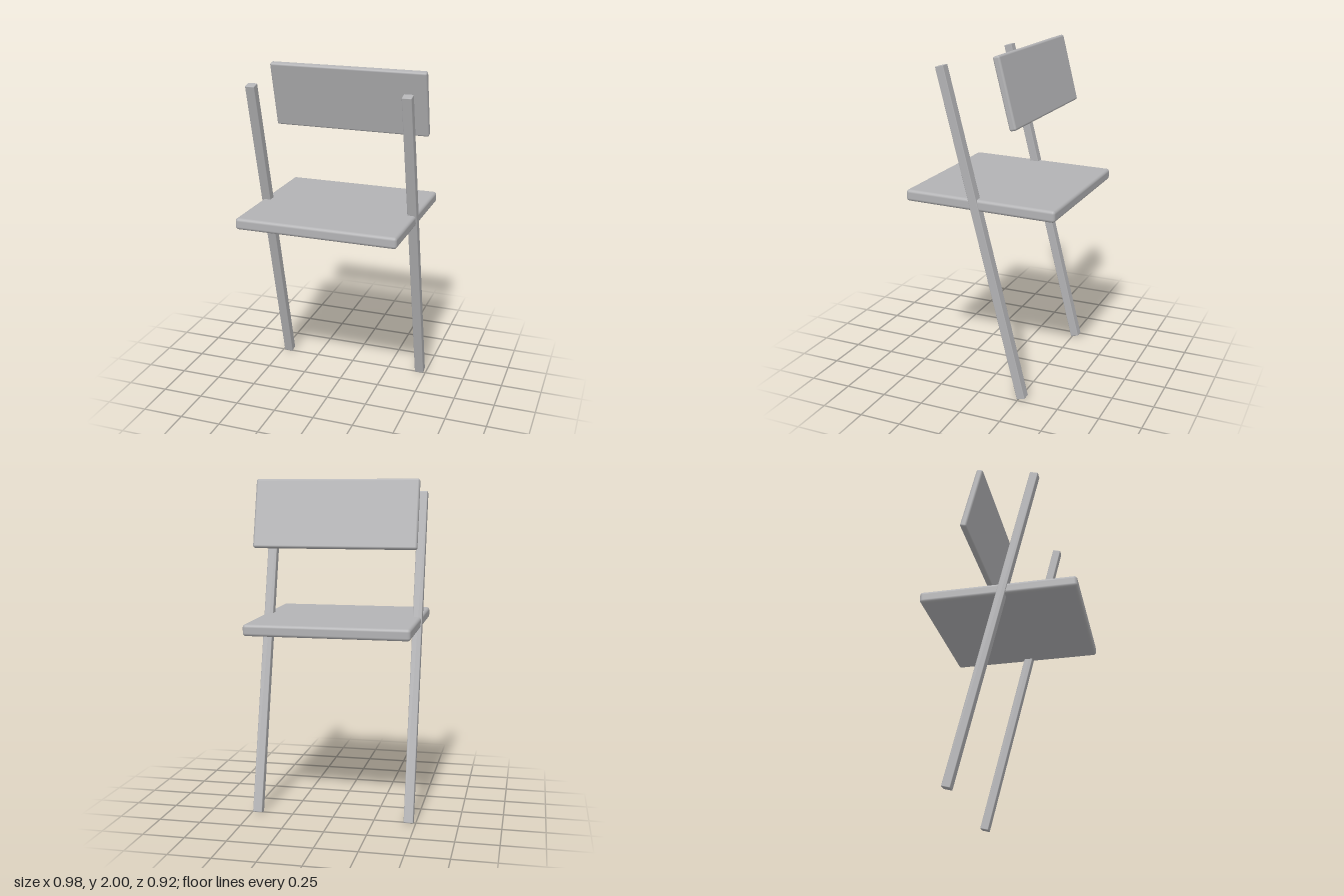
import * as THREE from 'three';
import { RoundedBoxGeometry } from 'three/addons/geometries/RoundedBoxGeometry.js';

const LEAN = 0.2485; // shared forward lean of posts and backrest

export function createModel() {
  const model = new THREE.Group();
  model.name = 'chair';
  const grey = new THREE.MeshStandardMaterial({ color: 0xb2b2b4 });
  grey.name = 'light grey';

  // Softly rounded slab, tilted about the x axis
  function slab(name, [w, h, d], radius, [x, y, z], tilt) {
    const mesh = new THREE.Mesh(new RoundedBoxGeometry(w, h, d, 3, radius), grey);
    mesh.name = name;
    mesh.position.set(x, y, z);
    mesh.rotation.x = tilt;
    model.add(mesh);
  }

  // Seat, raised very slightly at the front
  slab('seat', [0.964, 0.068, 0.918], 0.018, [0, 1.156, 0], -0.0175);

  // Floating backrest panel
  slab('backrest', [0.964, 0.407, 0.042], 0.012, [0, 1.8, -0.164], LEAN);

  // Long leaning posts, one on each side
  for (const [side, name] of [[1, 'leftPost'], [-1, 'rightPost']]) {
    slab(name, [0.056, 1.981, 0.051], 0.004, [side * 0.46, 0.966, -0.0225], LEAN);
  }

  return model;
}
